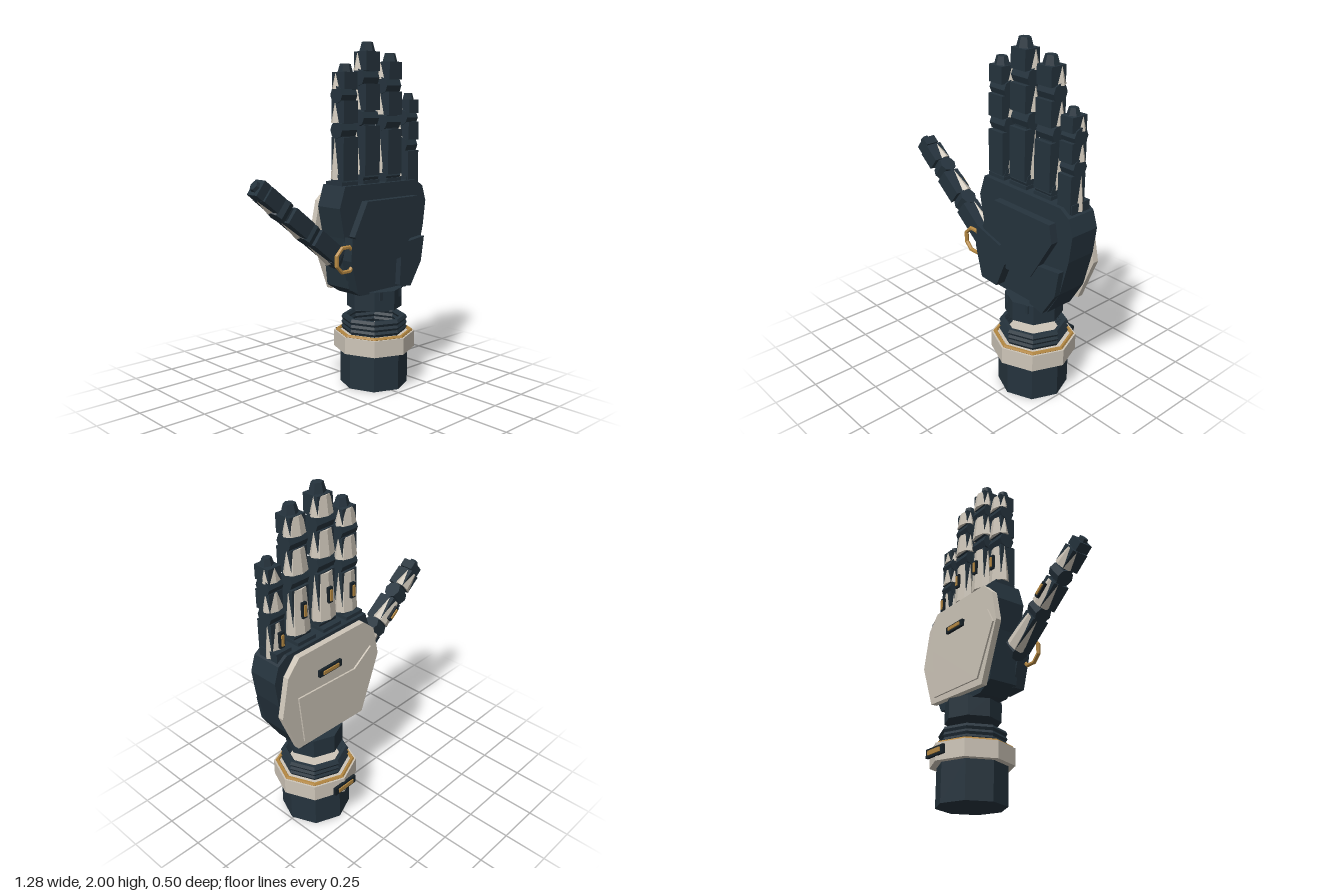
import * as THREE from 'three';

const mat = (name, color) => {
  const m = new THREE.MeshStandardMaterial({ color, flatShading: true });
  m.name = name;
  return m;
};

export function createModel() {
  const dark = mat('dark slate', 0x25333d);
  const black = mat('black trim', 0x182229);
  const bone = mat('bone white', 0xcdc5b8);
  const gold = mat('dull gold', 0xb58842);
  const root = new THREE.Group();
  root.name = 'mechanicalHand';

  const add = (parent, name, geo, material, x = 0, y = 0, z = 0) => {
    const m = new THREE.Mesh(geo, material);
    m.name = name;
    m.position.set(x, y, z);
    parent.add(m);
    return m;
  };
  const box = (p, name, material, w, h, d, x, y, z) =>
    add(p, name, new THREE.BoxGeometry(w, h, d), material, x, y, z);
  // Flat plate cut from an outline, spanning z0 to z1
  const plate = (name, material, pts, z0, z1) => {
    const shape = new THREE.Shape(pts.map(([x, y]) => new THREE.Vector2(x, y)));
    const geo = new THREE.ExtrudeGeometry(shape, { depth: z1 - z0, bevelEnabled: false });
    return add(root, name, geo, material, 0, 0, z0);
  };
  // Octagonal drum standing on y0
  const drum = (name, material, rTop, rBottom, y0, y1) =>
    add(root, name, new THREE.CylinderGeometry(rTop, rBottom, y1 - y0, 8), material, 0.29, (y0 + y1) / 2, 0.01);
  const ring = (name, material, r, tube, y) => {
    const geo = new THREE.TorusGeometry(r, tube, 6, 8).rotateX(Math.PI / 2);
    return add(root, name, geo, material, 0.29, y, 0.01);
  };
  // Dark holder with a gold face, looking backwards
  const stud = (p, w, h, x, y, z) => {
    box(p, 'studHolder', black, w, h, 0.016, x, y, z - 0.004);
    box(p, 'studFace', gold, w > h ? w * 0.7 : w * 0.5, w > h ? h * 0.5 : h * 0.7, 0.008, x, y, z - 0.015);
  };

  // Forearm cuff
  drum('forearm', dark, 0.2, 0.2, 0, 0.22);
  drum('cuffBand', bone, 0.24, 0.24, 0.22, 0.318);
  ring('cuffTrim', gold, 0.218, 0.012, 0.32);
  for (const y of [0.342, 0.37, 0.4]) ring('bellowsRing', dark, 0.176, 0.02, y);
  stud(root, 0.165, 0.05, 0.29, 0.27, -0.227);

  // Wrist
  drum('wrist', dark, 0.163, 0.163, 0.47, 0.585);
  box(root, 'wristTab', dark, 0.18, 0.05, 0.05, 0.29, 0.56, 0.12);

  // Palm
  plate('palm', dark, [[-0.03, 1.21], [-0.07, 1.09], [-0.035, 0.92], [0, 0.63], [0.09, 0.575], [0.475, 0.57],
    [0.565, 0.72], [0.62, 0.93], [0.64, 1.08], [0.61, 1.17], [0.55, 1.21]], -0.085, 0.095);
  plate('palmPad', dark, [[0.1, 1.12], [0, 0.93], [0.2, 0.74], [0.39, 0.77], [0.54, 1.02], [0.52, 1.12]], 0.095, 0.14);
  plate('heelPad', dark, [[0.42, 0.85], [0.39, 0.77], [0.38, 0.6], [0.475, 0.58], [0.565, 0.72], [0.59, 0.87]], 0.095, 0.132);
  plate('thumbPad', dark, [[-0.03, 0.93], [-0.04, 0.8], [0.01, 0.62], [0.135, 0.615], [0.2, 0.77], [0.16, 0.875]], 0.08, 0.155);
  const thumbRing = add(root, 'thumbRing', new THREE.TorusGeometry(0.073, 0.012, 6, 8), gold, -0.07, 0.815, 0.142);
  thumbRing.rotation.z = Math.PI / 8;

  // Armour on the back of the hand
  plate('backArmour', bone, [[0.5, 1.19], [0.02, 1.19], [-0.06, 1.12], [-0.1, 0.94], [0.03, 0.6], [0.53, 0.62],
    [0.63, 0.87], [0.58, 1.1]], -0.12, -0.085);
  plate('backShield', bone, [[0.52, 0.95], [0.1, 0.93], [-0.03, 1.02], [-0.08, 0.93], [0.06, 0.64], [0.49, 0.65]], -0.13, -0.12);
  stud(root, 0.165, 0.04, 0.29, 1.03, -0.124);

  // One phalanx: dark core with a tapered shell showing at the sides and back
  const phalanx = (p, name, w, y0, y1) => {
    const h = y1 - y0, y = (y0 + y1) / 2;
    box(p, name + 'Core', dark, w * 1.72, h, 0.1, 0, y, 0.022);
    const shell = new THREE.CylinderGeometry(w * 0.86, w * 1.16, h * 0.96, 8).scale(1, 1, 0.7);
    add(p, name + 'Shell', shell, bone, 0, y, 0);
  };
  const knuckle = (p, w, y) => {
    const geo = new THREE.CylinderGeometry(0.048, 0.048, w * 1.8, 8).rotateZ(Math.PI / 2);
    add(p, 'knuckle', geo, dark, 0, y, 0.014);
  };
  // A finger along its own y axis; cuts are heights of the phalanx ends
  const finger = (name, w, cuts, length, z = 0) => {
    const g = new THREE.Group();
    g.name = name;
    const [a0, a1, b0, b1, c0, c1] = cuts;
    phalanx(g, 'lowerPhalanx', w, a0, a1);
    phalanx(g, 'middlePhalanx', w * 0.97, b0, b1);
    phalanx(g, 'upperPhalanx', w * 0.9, c0, c1);
    knuckle(g, w, a0 - 0.01);
    knuckle(g, w, (a1 + b0) / 2);
    knuckle(g, w, (b1 + c0) / 2);
    // Cores that link the joints
    box(g, 'spine', dark, w * 1.3, c0 - a0, 0.06, 0, (a0 + c0) / 2, 0.018);
    const tip = new THREE.CylinderGeometry(w * 0.5, w * 0.72, length - c1, 6).scale(1, 1, 0.85);
    add(g, 'fingertip', tip, dark, 0, (c1 + length) / 2, 0.025);
    g.position.z = z;
    root.add(g);
    return g;
  };

  // Four fingers: name, x, base height, top height, half width
  const fractions = [0.07, 0.42, 0.53, 0.71, 0.8, 0.935];
  for (const [name, x, base, top, w] of [
    ['indexFinger', 0.035, 1.19, 1.875, 0.064],
    ['middleFinger', 0.205, 1.2, 2, 0.068],
    ['ringFinger', 0.39, 1.2, 1.945, 0.066],
    ['littleFinger', 0.55, 1.14, 1.72, 0.052],
  ]) {
    const L = top - base;
    const f = finger(name, w, fractions.map((k) => k * L), L);
    f.position.set(x, base, 0);
    box(f, 'socket', dark, w * 1.9, 0.06, 0.13, 0, 1.2 - base, 0);
    stud(f, 0.03, 0.09, 0, L * 0.26, -0.046);
  }

  // Thumb, leaning out to the side
  const thumb = finger('thumb', 0.057, [0.05, 0.26, 0.33, 0.485, 0.575, 0.685], 0.76, 0.035);
  thumb.position.x = -0.03;
  thumb.position.y = 0.79;
  thumb.rotation.z = 0.905;
  stud(thumb, 0.03, 0.09, 0, 0.41, -0.044);
  box(thumb, 'thumbTipBlock', dark, 0.092, 0.05, 0.08, 0, 0.715, 0.025);

  return root;
}
